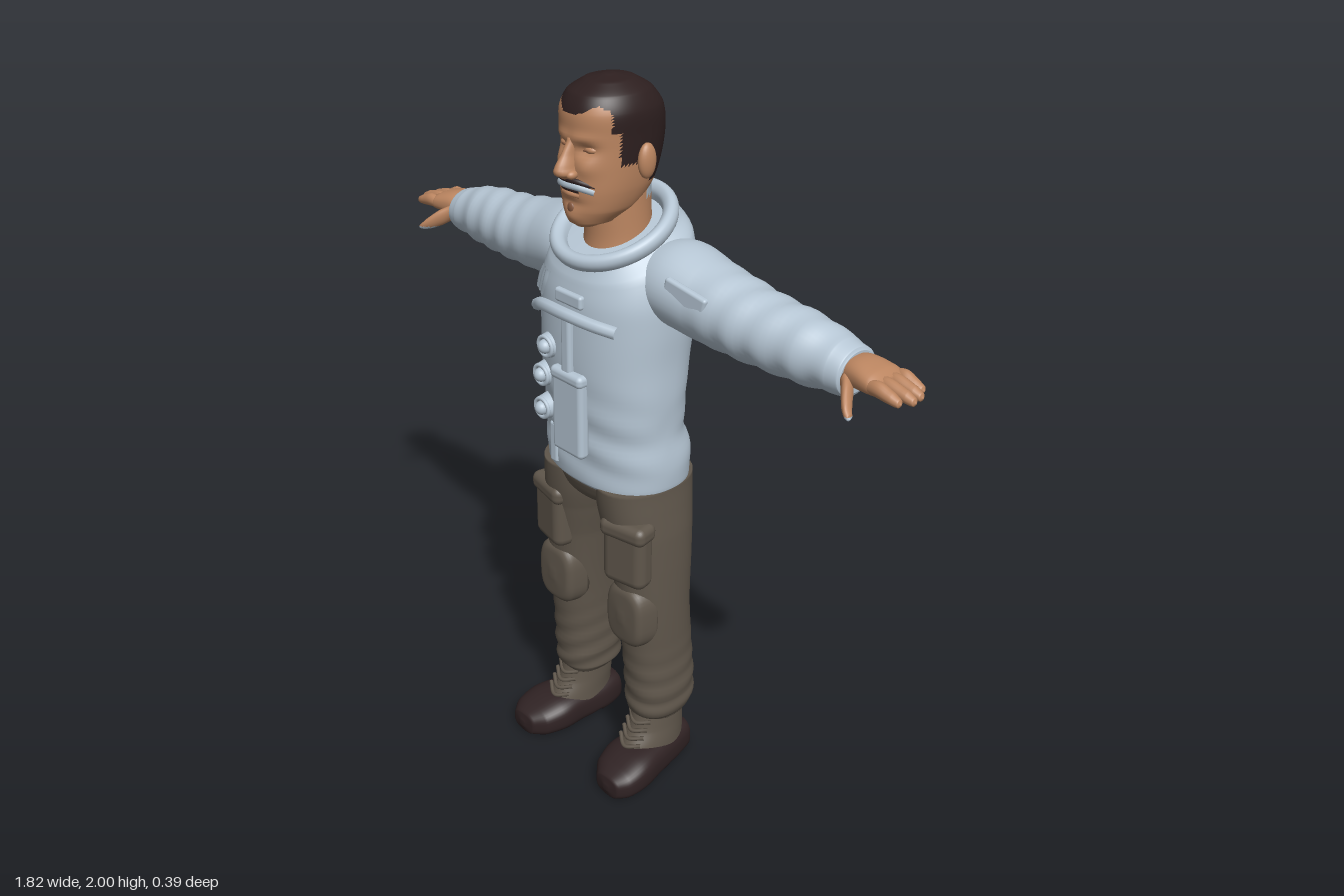
import * as THREE from 'three';
import { mergeVertices } from 'three/addons/utils/BufferGeometryUtils.js';
import { RoundedBoxGeometry } from 'three/addons/geometries/RoundedBoxGeometry.js';

const mat = (name, color) => Object.assign(new THREE.MeshStandardMaterial({ color }), { name });
const M = {
  jacket: mat('pale blue jacket', 0xb6c6d4),
  trousers: mat('olive brown trousers', 0x5f564b),
  skin: mat('skin', 0xbb8560),
  hair: mat('dark hair', 0x2d1f1f),
  shoe: mat('dark shoe leather', 0x2f2223),
  grey: mat('grey hair', 0xa9b9c6),
  crease: mat('face crease', 0x865a41),
};

const gauss = (d, w) => Math.exp(-(d * d) / (w * w));
const smooth = THREE.MathUtils.smoothstep;

// Smooth closed skin through sections [t, centreU, centreV, radiusU, radiusV].
// Axis y: u=z, v=x. Axis x: u=y, v=z. Axis z: u=x, v=y.
function loft(axis, secs, { seg = 40, steps = 6, power = 2, warp, pick } = {}) {
  const rows = [];
  const at = (i) => secs[THREE.MathUtils.clamp(i, 0, secs.length - 1)];
  for (let i = 0; i < secs.length - 1; i++) {
    for (let k = 0; k < steps + (i === secs.length - 2 ? 1 : 0); k++) {
      const f = k / steps;
      rows.push(secs[0].map((_, c) => {
        const [a, b, d, e] = [at(i - 1)[c], at(i)[c], at(i + 1)[c], at(i + 2)[c]];
        if (c === 0) return b + (d - b) * f;
        return 0.5 * (2 * b + (d - a) * f + (2 * a - 5 * b + 4 * d - e) * f * f + (3 * b - a - 3 * d + e) * f ** 3);
      }));
    }
  }
  const pts = [];
  const put = (t, u, v) => {
    const p = axis === 'y' ? new THREE.Vector3(v, t, u) : axis === 'x' ? new THREE.Vector3(t, u, v) : new THREE.Vector3(u, v, t);
    if (warp) warp(p);
    pts.push(p);
  };
  const bend = (c) => Math.sign(c) * Math.abs(c) ** (2 / power);
  for (const [t, cu, cv, ru, rv] of rows) for (let j = 0; j < seg; j++) {
    const a = (j / seg) * Math.PI * 2;
    put(t, cu + bend(Math.cos(a)) * ru, cv + bend(Math.sin(a)) * rv);
  }
  const first = rows[0], last = rows[rows.length - 1], n = rows.length * seg;
  put(first[0], first[1], first[2]);
  put(last[0], last[1], last[2]);
  const tris = [];
  for (let j = 0; j < seg; j++) {
    const k = (j + 1) % seg;
    for (let i = 0; i < rows.length - 1; i++) {
      const a = i * seg + j, b = i * seg + k;
      tris.push([a, b, b + seg], [a, b + seg, a + seg]);
    }
    tris.push([n, k, j], [n + 1, n - seg + j, n - seg + k]);
  }
  const geo = new THREE.BufferGeometry().setFromPoints(pts);
  if (pick) {
    const bins = [];
    for (const t of tris) {
      const c = t.reduce((s, i) => s.add(pts[i]), new THREE.Vector3()).divideScalar(3);
      (bins[pick(c)] ??= []).push(...t);
    }
    let start = 0;
    bins.forEach((b, i) => { geo.addGroup(start, b.length, i); start += b.length; });
    geo.setIndex(bins.flat());
  } else geo.setIndex(tris.flat());
  geo.computeVertexNormals();
  return geo;
}

// Upright section from its centre x, half width, front z and back z
const body = (y, cx, rx, f, b) => [y, (f + b) / 2, cx, (f - b) / 2, rx];
const ball = (x, y, z, rx, ry, rz) => new THREE.SphereGeometry(1, 24, 16).scale(rx, ry, rz).translate(x, y, z);
const slab = (w, h, d, x, y, z, rz = 0, ry = 0) =>
  new RoundedBoxGeometry(w, h, d, 3, Math.min(w, h, d) * 0.4).rotateZ(rz).rotateY(ry).translate(x, y, z);
const tube = (pts, r) => new THREE.TubeGeometry(new THREE.CatmullRomCurve3(pts.map((p) => new THREE.Vector3(...p))), 24, r, 8);

export function createModel() {
  const root = new THREE.Group();
  root.name = 'standingMan';
  const add = (name, geo, material) => {
    const m = new THREE.Mesh(geo, material);
    m.name = name;
    root.add(m);
  };
  // Adds the +x part and its mirror image
  const pair = (name, geo, material) => {
    add(name + 'Left', geo, material);
    const g = (geo.index ? geo.clone() : mergeVertices(geo)).scale(-1, 1, 1);
    const ix = g.index.array;
    for (let i = 0; i < ix.length; i += 3) [ix[i], ix[i + 2]] = [ix[i + 2], ix[i]];
    add(name + 'Right', g, material);
  };

  // Jacket body, its neckline sloping down to the front
  add('jacketBody', loft('y', [
    body(0.935, 0, 0.2, 0.13, -0.16), body(0.945, 0, 0.21, 0.137, -0.17), body(1.01, 0, 0.213, 0.14, -0.173),
    body(1.1, 0, 0.203, 0.145, -0.152), body(1.2, 0, 0.207, 0.152, -0.156), body(1.3, 0, 0.207, 0.157, -0.17),
    body(1.4, 0, 0.212, 0.155, -0.183), body(1.48, 0, 0.21, 0.15, -0.186), body(1.56, 0, 0.19, 0.14, -0.182),
    body(1.61, 0, 0.145, 0.125, -0.155)], {
    seg: 64, power: 2.3,
    warp: (p) => {
      const fold = 0.004 * Math.sin(p.y * 60 + p.x * 14) * gauss(p.y - 1.08, 0.12);
      p.z += fold * Math.sign(p.z);
      p.y -= 0.42 * p.z * smooth(p.y, 1.42, 1.61);
    },
  }), M.jacket);

  // Sleeves with soft cross folds
  pair('sleeve', loft('x', [
    [0.1, 1.5, -0.055, 0.1, 0.11], [0.2, 1.507, -0.058, 0.107, 0.118], [0.3, 1.49, -0.06, 0.102, 0.108],
    [0.45, 1.474, -0.063, 0.09, 0.098], [0.6, 1.464, -0.073, 0.083, 0.084], [0.69, 1.455, -0.08, 0.068, 0.073],
    [0.725, 1.451, -0.08, 0.058, 0.068], [0.73, 1.451, -0.08, 0.05, 0.06]], {
    steps: 10,
    warp: (p) => {
      const k = 1 + 0.03 * Math.sin(p.x * 75 + p.z * 28) * smooth(p.x, 0.25, 0.45);
      p.y = 1.47 + (p.y - 1.47) * k;
      p.z = -0.07 + (p.z + 0.07) * k;
    },
  }), M.jacket);

  // Tilted rolled collar ring
  const ring = [[0.15, -0.1], [0.15, -0.035], [0.163, -0.018], [0.168, 0], [0.162, 0.015], [0.148, 0.02], [0.132, 0.01], [0.125, -0.01], [0.12, -0.05]];
  const collar = new THREE.SplineCurve(ring.map((p) => new THREE.Vector2(...p))).getPoints(32);
  const collarMat = M.jacket.clone();
  collarMat.side = THREE.DoubleSide;
  add('collar', new THREE.LatheGeometry(collar, 56).rotateX(0.43).translate(0, 1.625, 0), collarMat);

  // Chest gear: panel, straps, label patch, hose fittings
  add('chestPanel', slab(0.115, 0.235, 0.035, 0.008, 1.15, 0.155), M.jacket);
  add('panelFlap', slab(0.12, 0.035, 0.042, 0.008, 1.255, 0.156), M.jacket);
  add('verticalStrap', slab(0.035, 0.16, 0.025, 0.005, 1.34, 0.158), M.jacket);
  add('chestStrap', tube([[-0.185, 1.375, 0.1], [-0.1, 1.415, 0.148], [0, 1.425, 0.163], [0.09, 1.418, 0.148], [0.15, 1.41, 0.125]], 0.017), M.jacket);
  add('chestPatch', slab(0.1, 0.036, 0.02, 0.005, 1.465, 0.15), M.jacket);
  add('zipBand', slab(0.03, 0.12, 0.02, -0.085, 1.02, 0.13), M.jacket);
  for (const [x, y] of [[-0.078, 1.31], [-0.11, 1.215], [-0.11, 1.118]]) {
    const z = x < -0.1 ? 0.138 : 0.148;
    add('hoseFittingBase', new THREE.CylinderGeometry(0.031, 0.036, 0.03, 28).rotateX(Math.PI / 2).translate(x, y, z), M.jacket);
    add('hoseFittingRim', new THREE.TorusGeometry(0.026, 0.006, 10, 28).translate(x, y, z + 0.016), M.jacket);
    add('hoseFittingKnob', ball(x, y, z + 0.017, 0.019, 0.019, 0.019), M.jacket);
  }
  for (const i of [0, 1, 2]) {
    add('penLoop', tube([[-0.175 + i * 0.022, 1.43, 0.098 + i * 0.012], [-0.155 + i * 0.022, 1.47, 0.105 + i * 0.012], [-0.13 + i * 0.016, 1.505, 0.11 + i * 0.01]], 0.009), M.jacket);
  }
  add('shoulderPocket', slab(0.13, 0.055, 0.02, 0.295, 1.525, 0.036, -0.2, 0.08), M.jacket);

  // Hands: palm, four fingers, thumb
  pair('palm', loft('x', [[0.7, 1.455, -0.08, 0.036, 0.045], [0.75, 1.462, -0.078, 0.036, 0.053],
    [0.8, 1.46, -0.077, 0.029, 0.06], [0.83, 1.455, -0.077, 0.02, 0.058]], { power: 2.4 }), M.skin);
  [[-0.122, 0.885], [-0.092, 0.905], [-0.061, 0.91], [-0.031, 0.893]].forEach(([z, tip]) => {
    pair('finger', loft('x', [[0.79, 1.458, z, 0.014, 0.012], [0.83, 1.461, z, 0.019, 0.017],
      [tip - 0.025, 1.453, z, 0.015, 0.015], [tip - 0.005, 1.448, z, 0.01, 0.01], [tip, 1.447, z, 0.002, 0.002]], { seg: 16 }), M.skin);
  });
  pair('thumb', loft('x', [[0.73, 1.448, -0.04, 0.022, 0.02], [0.76, 1.43, -0.012, 0.024, 0.022],
    [0.785, 1.412, 0.015, 0.017, 0.017], [0.803, 1.402, 0.028, 0.008, 0.01], [0.808, 1.4, 0.031, 0.001, 0.001]],
  { seg: 20, pick: (c) => (c.y < 1.404 ? 1 : 0) }), [M.skin, M.jacket]);

  // Trousers
  add('trouserSeat', loft('y', [body(0.85, 0, 0.05, 0.05, -0.08), body(0.88, 0, 0.13, 0.105, -0.135),
    body(0.92, 0, 0.185, 0.125, -0.158), body(0.95, 0, 0.2, 0.13, -0.16)], { power: 2.3 }), M.trousers);
  pair('trouserLeg', loft('y', [
    body(0.185, 0.153, 0.065, 0.045, -0.12), body(0.205, 0.153, 0.077, 0.06, -0.14), body(0.26, 0.154, 0.081, 0.065, -0.145),
    body(0.4, 0.15, 0.081, 0.074, -0.138), body(0.55, 0.145, 0.085, 0.088, -0.128), body(0.7, 0.135, 0.092, 0.1, -0.137),
    body(0.8, 0.122, 0.1, 0.113, -0.147), body(0.87, 0.11, 0.104, 0.124, -0.156), body(0.945, 0.103, 0.103, 0.13, -0.162)], {
    steps: 9, power: 2.2,
    warp: (p) => {
      const k = 1 + 0.035 * Math.sin(p.y * 95 + p.x * 25 + p.z * 12) * (1 - smooth(p.y, 0.25, 0.5));
      p.x = 0.153 + (p.x - 0.153) * k;
      p.z = -0.04 + (p.z + 0.04) * k;
    },
  }), M.trousers);
  pair('thighPocket', slab(0.135, 0.18, 0.07, 0.15, 0.755, 0.082, 0, 0.2), M.trousers);
  pair('thighPocketFlap', slab(0.145, 0.055, 0.078, 0.15, 0.835, 0.084, 0, 0.2), M.trousers);
  pair('kneePad', loft('z', [[0.03, 0.145, 0.555, 0.076, 0.1], [0.085, 0.145, 0.555, 0.07, 0.093],
    [0.1, 0.145, 0.555, 0.055, 0.075], [0.106, 0.145, 0.555, 0.01, 0.015]], { power: 3 }), M.trousers);

  // Boot uppers with laces, and dark shoes with an arched sole
  pair('bootUpper', loft('y', [body(0.05, 0.158, 0.065, 0.11, -0.115), body(0.1, 0.158, 0.064, 0.098, -0.115),
    body(0.15, 0.155, 0.062, 0.065, -0.115), body(0.23, 0.153, 0.06, 0.045, -0.11)]), M.trousers);
  for (let i = 0; i < 4; i++) {
    const y = 0.108 + i * 0.022, z = 0.094 - i * 0.013;
    pair('lace', tube([[0.115, y + 0.012, z - 0.02], [0.157, y, z + 0.003], [0.2, y + 0.012, z - 0.02]], 0.006), M.trousers);
  }
  pair('shoe', loft('z', [[-0.133, 0.152, 0.05, 0.02, 0.02], [-0.125, 0.152, 0.05, 0.05, 0.05], [-0.06, 0.155, 0.05, 0.067, 0.055],
    [0.03, 0.167, 0.052, 0.076, 0.057], [0.1, 0.175, 0.05, 0.085, 0.055], [0.16, 0.183, 0.042, 0.073, 0.045],
    [0.193, 0.188, 0.036, 0.044, 0.032], [0.2, 0.189, 0.034, 0.01, 0.01]], {
    power: 2.8, warp: (p) => { p.y = Math.max(p.y, 0.022 * gauss(p.z + 0.025, 0.025)); },
  }), M.shoe);

  // Neck
  add('neck', loft('y', [body(1.53, 0, 0.095, 0.08, -0.12), body(1.6, 0, 0.084, 0.072, -0.105),
    body(1.68, 0, 0.08, 0.075, -0.1), body(1.76, 0, 0.08, 0.07, -0.1)],
  { pick: (c) => (c.z < -0.04 && c.y > 1.7 ? 1 : 0) }), [M.skin, M.grey]);

  // Head with sockets and cheeks, split along the hairline
  const hairline = (x, z) => {
    if (z > 0.085) return 1.925 + 0.022 * gauss(Math.abs(x) - 0.065, 0.025);
    if (z > -0.03) return z > 0.065 ? 1.885 : 1.805;
    return 1.745;
  };
  add('head', loft('y', [
    body(1.643, 0, 0.025, 0.115, 0.05), body(1.655, 0, 0.052, 0.13, -0.005), body(1.69, 0, 0.08, 0.139, -0.06),
    body(1.74, 0, 0.096, 0.143, -0.1), body(1.8, 0, 0.104, 0.14, -0.122), body(1.87, 0, 0.108, 0.138, -0.132),
    body(1.925, 0, 0.108, 0.138, -0.122), body(1.965, 0, 0.09, 0.118, -0.092), body(1.99, 0, 0.055, 0.075, -0.05),
    body(2, 0, 0.012, 0.03, 0)], {
    seg: 80, steps: 8, power: 2.2,
    warp: (p) => {
      if (p.z < 0.05) return;
      const ax = Math.abs(p.x);
      p.z -= 0.014 * gauss(ax - 0.042, 0.025) * gauss(p.y - 1.842, 0.016);
      p.z += 0.008 * gauss(ax - 0.05, 0.025) * gauss(p.y - 1.8, 0.022);
      p.z += 0.006 * gauss(p.y - 1.868, 0.014) * gauss(ax - 0.03, 0.04);
      p.z += 0.007 * gauss(p.x, 0.03) * gauss(p.y - 1.672, 0.018);
      p.z -= 0.006 * gauss(p.x, 0.04) * gauss(p.y - 1.71, 0.012);
    },
    pick: (c) => (c.y > hairline(c.x, c.z) ? 1 : 0),
  }), [M.skin, M.hair]);
  pair('ear', ball(0.113, 1.808, -0.005, 0.017, 0.044, 0.026).rotateZ(0), M.skin);

  // Nose, squinting eyes, moustache, mouth and chin tuft
  add('nose', loft('y', [body(1.772, 0, 0.012, 0.163, 0.11), body(1.784, 0, 0.024, 0.183, 0.11), body(1.8, 0, 0.02, 0.184, 0.11),
    body(1.83, 0, 0.013, 0.164, 0.11), body(1.868, 0, 0.012, 0.142, 0.11)], { seg: 24 }), M.skin);
  pair('nostril', ball(0.02, 1.784, 0.15, 0.012, 0.011, 0.016), M.skin);
  pair('eyelid', ball(0.042, 1.842, 0.108, 0.021, 0.011, 0.015), M.skin);
  pair('eyeCrease', tube([[0.024, 1.838, 0.121], [0.042, 1.841, 0.122], [0.062, 1.836, 0.108]], 0.0025), M.crease);
  const across = (y, z) => [[-0.06, y - 0.012, z - 0.035], [-0.03, y, z - 0.008], [0, y + 0.002, z], [0.03, y, z - 0.008], [0.06, y - 0.012, z - 0.035]];
  add('moustacheTop', tube(across(1.766, 0.148), 0.007), M.hair);
  add('moustache', tube(across(1.754, 0.15), 0.009), M.grey);
  add('mouth', tube(across(1.742, 0.143).slice(1, 4), 0.006), M.hair);
  add('lowerLip', tube(across(1.73, 0.141).slice(1, 4), 0.007), M.skin);
  add('chinTuft', ball(0, 1.695, 0.137, 0.012, 0.014, 0.006), M.crease);

  return root;
}
